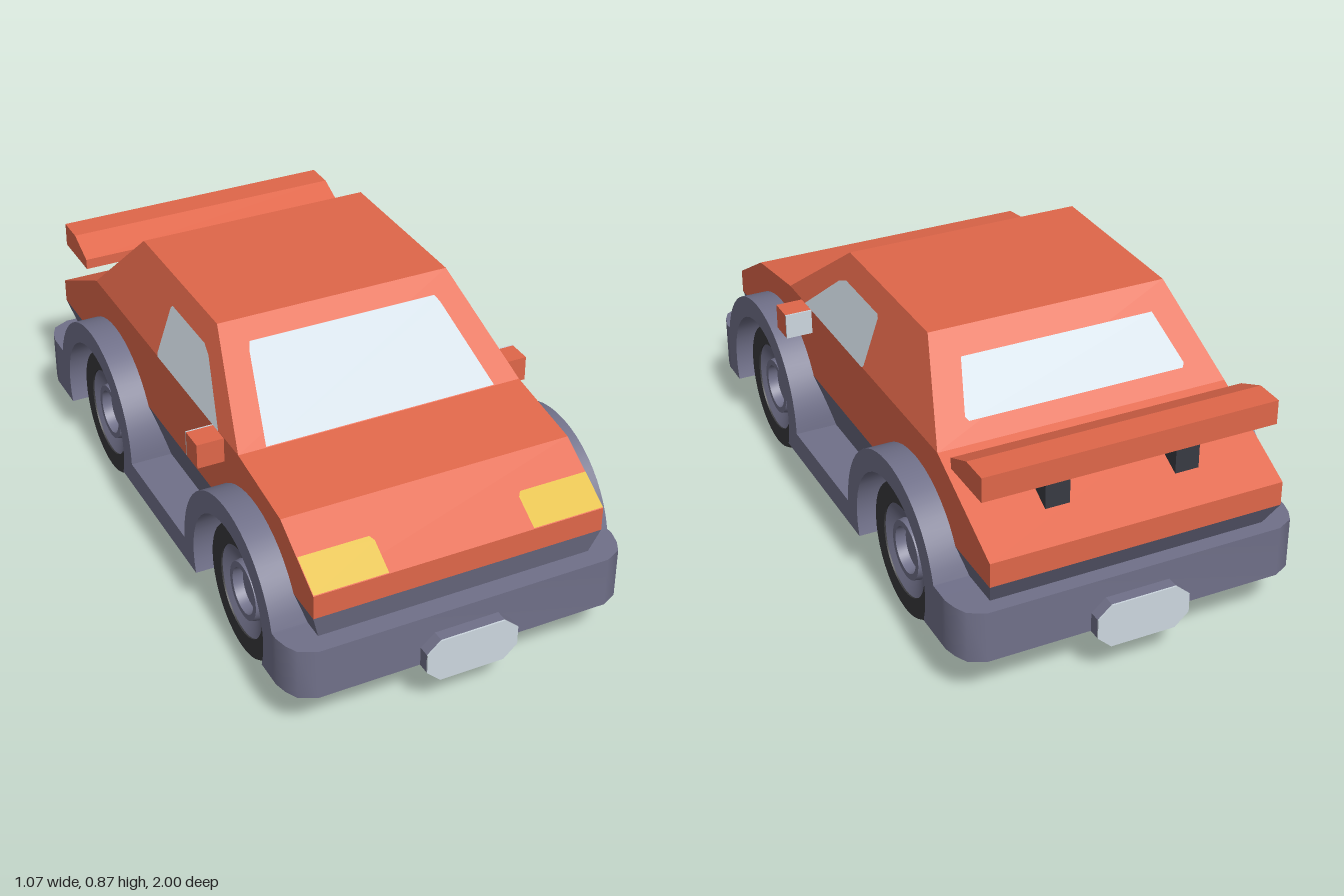
import * as THREE from 'three';
import { toCreasedNormals } from 'three/addons/utils/BufferGeometryUtils.js';

export function createModel() {
  const car = new THREE.Group();
  car.name = 'car';

  const material = (name, color) => {
    const m = new THREE.MeshStandardMaterial({ color });
    m.name = name;
    return m;
  };
  const paint = material('orange paint', 0xe0674a);
  const trim = material('grey trim', 0x71718a);
  const rubber = material('black rubber', 0x38383b);
  const strutMat = material('dark strut', 0x383a42);
  const glass = material('pale glass', 0xcdd8e0);
  const lamp = material('yellow lamp', 0xe0bc3c);

  const add = (name, geometry, mat, parent = car) => {
    const mesh = new THREE.Mesh(geometry, mat);
    mesh.name = name;
    parent.add(mesh);
    return mesh;
  };

  // Box given by its limits on each axis
  const block = (x0, x1, y0, y1, z0, z1) =>
    new THREE.BoxGeometry(x1 - x0, y1 - y0, z1 - z0)
      .translate((x0 + x1) / 2, (y0 + y1) / 2, (z0 + z1) / 2);

  // Side profile of [z, y] points, extruded across x
  const sideExtrude = (points, x0, x1) => {
    const shape = new THREE.Shape(points.map(([z, y]) => new THREE.Vector2(-z, y)));
    const g = new THREE.ExtrudeGeometry(shape, { depth: x1 - x0, bevelEnabled: false });
    return toCreasedNormals(g.translate(0, 0, x0).rotateY(Math.PI / 2), 0.4);
  };

  // Tapered block: bottom and top are { y, x: half width, front, back }
  const taper = (bottom, top) => {
    const g = new THREE.BoxGeometry(2, 2, 2).toNonIndexed();
    const p = g.attributes.position;
    for (let i = 0; i < p.count; i++) {
      const end = p.getY(i) > 0 ? top : bottom;
      p.setXYZ(i, p.getX(i) * end.x, end.y, p.getZ(i) > 0 ? end.front : end.back);
    }
    g.computeVertexNormals();
    return g;
  };

  // Flat painted face through counterclockwise corners, lifted off the surface
  const facePlate = (corners) => {
    const v = corners.map((c) => new THREE.Vector3(...c));
    const normal = v[1].clone().sub(v[0]).cross(v[2].clone().sub(v[0])).normalize();
    v.forEach((c) => c.addScaledVector(normal, 0.003));
    const triangles = [];
    for (let i = 1; i < v.length - 1; i++) triangles.push(v[0], v[i], v[i + 1]);
    const g = new THREE.BufferGeometry().setFromPoints(triangles);
    g.computeVertexNormals();
    return g;
  };

  // Body shell, cabin and the tapered skirt below
  add('bodyShell', sideExtrude([
    [0.92, 0.4], [0.92, 0.475], [0.72, 0.595], [0.45, 0.635],
    [-0.64, 0.635], [-0.96, 0.475], [-0.96, 0.4],
  ], -0.45, 0.45).toNonIndexed === undefined ? null : toCreasedNormals(sideExtrude([
    [0.92, 0.4], [0.92, 0.475], [0.72, 0.595], [0.45, 0.635],
    [-0.64, 0.635], [-0.96, 0.475], [-0.96, 0.4],
  ], -0.45, 0.45), 0.1), paint);
  add('cabin', taper(
    { y: 0.635, x: 0.45, front: 0.45, back: -0.64 },
    { y: 0.87, x: 0.37, front: 0.14, back: -0.41 }), paint);
  add('lowerBody', taper(
    { y: 0.2, x: 0.39, front: 0.87, back: -0.84 },
    { y: 0.4, x: 0.45, front: 0.92, back: -0.96 }), trim);
  add('floor', block(-0.4, 0.4, 0.16, 0.24, -0.84, 0.84), trim);

  // Side sills with wheel arches
  const wheelZ = [0.54, -0.49];
  const hubY = 0.237;
  const arc = (cz, r, from, to) => Array.from({ length: 25 }, (_, i) => {
    const a = from + (to - from) * i / 24;
    return [cz + r * Math.cos(a), hubY + r * Math.sin(a)];
  });
  const PI = Math.PI;
  const sill = [
    [0.84, 0.16], [0.84, 0.32],
    ...arc(wheelZ[0], 0.307, 0.274, PI), ...arc(wheelZ[1], 0.307, 0, PI - 0.274),
    [-0.84, 0.32], [-0.84, 0.16],
    ...arc(wheelZ[1], 0.24, PI + 0.327, -0.327), ...arc(wheelZ[0], 0.24, PI + 0.327, -0.327),
  ];
  add('leftSill', sideExtrude(sill, 0.4, 0.533), trim);
  add('rightSill', sideExtrude(sill, -0.533, -0.4), trim);

  // Bumpers and plates, the rear pair turned round
  const halfPlan = [[0.533, 0.84], [0.533, 0.86], [0.523, 0.9], [0.505, 0.935], [0.455, 0.96]];
  const plan = [...halfPlan, ...halfPlan.map(([x, z]) => [-x, z]).reverse()];
  const octagon = new THREE.Shape([
    [0.1, 0.12], [0.143, 0.16], [0.143, 0.22], [0.1, 0.258],
    [-0.1, 0.258], [-0.143, 0.22], [-0.143, 0.16], [-0.1, 0.12],
  ].map(([x, y]) => new THREE.Vector2(x, y)));
  for (const end of ['front', 'rear']) {
    const group = new THREE.Group();
    group.name = end + 'BumperGroup';
    if (end === 'rear') group.rotation.y = PI;
    const shape = new THREE.Shape(plan.map(([x, z]) => new THREE.Vector2(x, -z)));
    const g = new THREE.ExtrudeGeometry(shape, { depth: 0.16, bevelEnabled: false });
    add(end + 'Bumper', toCreasedNormals(g.rotateX(-PI / 2).translate(0, 0.16, 0), 0.7), trim, group);
    add(end + 'PlateHolder', new THREE.ExtrudeGeometry(octagon, { depth: 0.045, bevelEnabled: false })
      .translate(0, 0, 0.95), trim, group);
    add(end + 'Plate', new THREE.ExtrudeGeometry(octagon, { depth: 0.005, bevelEnabled: false })
      .translate(0, 0, 0.995), glass, group);
    car.add(group);
  }

  // Wheels: chamfered tyre, dished rim and raised hub ring
  const lathe = (points) => toCreasedNormals(
    new THREE.LatheGeometry(points.map(([r, x]) => new THREE.Vector2(r, x)), 40), 0.5);
  const tyre = lathe([[0, 0.205], [0.2, 0.205], [0.237, 0.285], [0.237, 0.41],
    [0.2, 0.49], [0.14, 0.49], [0.14, 0.45]]);
  const rim = lathe([[0.142, 0.44], [0.142, 0.486], [0.092, 0.465], [0.088, 0.485],
    [0.07, 0.485], [0.066, 0.455], [0, 0.455]]);
  for (const side of [1, -1]) {
    wheelZ.forEach((z, i) => {
      const wheel = new THREE.Group();
      wheel.name = (side > 0 ? 'left' : 'right') + (i ? 'Rear' : 'Front') + 'Wheel';
      wheel.position.set(0, hubY, z);
      wheel.rotation.z = -side * PI / 2;
      add('tyre', tyre, rubber, wheel);
      add('rim', rim, trim, wheel);
      car.add(wheel);
    });
  }

  // Windscreen and rear window
  const frontZ = (y) => 0.45 - (y - 0.635) / 0.235 * 0.31;
  const backZ = (y) => -0.64 + (y - 0.635) / 0.235 * 0.23;
  add('windscreen', facePlate([
    [-0.365, 0.636, frontZ(0.636)], [0.365, 0.636, frontZ(0.636)], [0.308, 0.81, frontZ(0.81)],
    [0.298, 0.825, frontZ(0.825)], [-0.298, 0.825, frontZ(0.825)], [-0.308, 0.81, frontZ(0.81)],
  ]), glass);
  add('rearWindow', facePlate([
    [0.335, 0.68, backZ(0.68)], [-0.335, 0.68, backZ(0.68)], [-0.343, 0.69, backZ(0.69)],
    [-0.3, 0.808, backZ(0.808)], [0.3, 0.808, backZ(0.808)], [0.343, 0.69, backZ(0.69)],
  ]), glass);

  // Side windows, mirrors and headlights on both sides
  const sideWindow = [[0.32, 0.636], [-0.125, 0.636], [-0.133, 0.645], [-0.133, 0.788],
    [-0.125, 0.797], [0.11, 0.797], [0.15, 0.78]];
  for (const side of [1, -1]) {
    const name = side > 0 ? 'left' : 'right';
    const oriented = (points) => (side > 0 ? points : points.reverse());
    add(name + 'Window', facePlate(oriented(sideWindow.map(([z, y]) =>
      [side * (0.45 - (y - 0.635) / 0.235 * 0.08), y, z]))), glass);
    const [x0, x1] = side > 0 ? [0.44, 0.533] : [-0.533, -0.44];
    add(name + 'Mirror', block(x0, x1, 0.555, 0.633, 0.278, 0.353), paint);
    add(name + 'MirrorGlass', block(x0, x1, 0.555, 0.633, 0.273, 0.278), glass);
    const slopeZ = (y) => 0.92 - (y - 0.475) / 0.12 * 0.2;
    add(name + 'Headlight', facePlate(oriented([[0.225, 0.476], [0.449, 0.476], [0.449, 0.535],
      [0.235, 0.535], [0.225, 0.527]].map(([x, y]) => [side * x, y, slopeZ(y)]))), lamp);
    add(name + 'SpoilerStrut', block(side * 0.2 - 0.037, side * 0.2 + 0.037, 0.48, 0.64, -0.86, -0.77), strutMat);
  }

  // Spoiler blade
  add('spoiler', sideExtrude([[-0.725, 0.635], [-0.725, 0.668], [-0.82, 0.71],
    [-0.91, 0.71], [-0.91, 0.635]], -0.45, 0.45), paint);

  return car;
}
